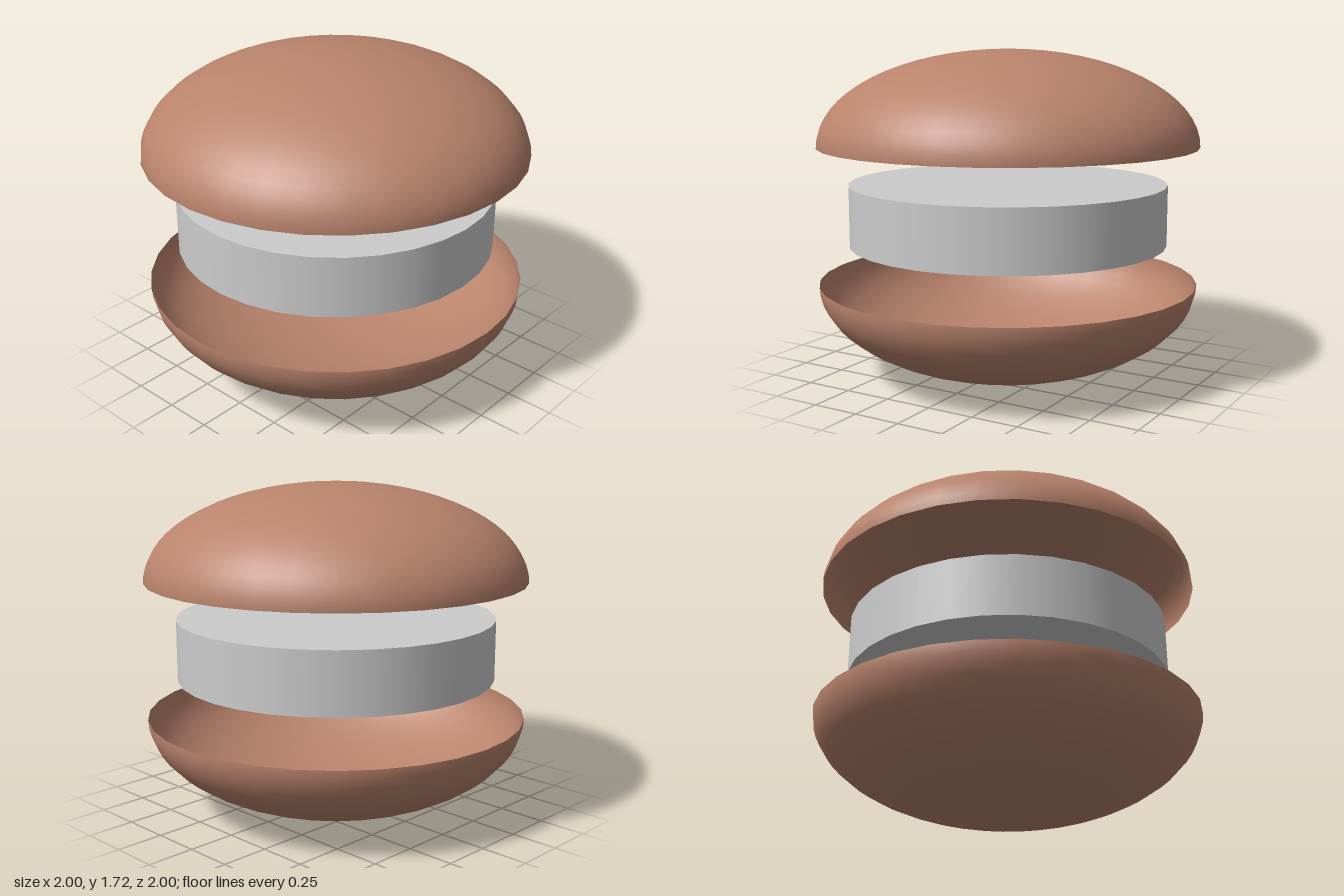
import * as THREE from 'three';

const SEGMENTS = 32;

export function createModel() {
  const model = new THREE.Group();
  model.name = 'sandwichCookie';

  const crustMaterial = new THREE.MeshStandardMaterial({ color: 0xb9836c, side: THREE.DoubleSide });
  const fillingMaterial = new THREE.MeshStandardMaterial({ color: 0xcccccc });

  // Hollow, open half-shell squashed to half its height
  const shellGeometry = new THREE.SphereGeometry(1, SEGMENTS, 16, 0, Math.PI * 2, 0, Math.PI / 2);
  shellGeometry.scale(1, 0.5, 1);

  const addShell = (name, rimY, flipped) => {
    const shell = new THREE.Mesh(shellGeometry, crustMaterial);
    shell.name = name;
    shell.position.y = rimY;
    if (flipped) shell.rotation.x = Math.PI;
    model.add(shell);
  };
  addShell('topShell', 1.22, false);
  addShell('bottomShell', 0.5, true);

  // Filling disc floating between the shells
  const filling = new THREE.Mesh(new THREE.CylinderGeometry(0.84, 0.84, 0.32, SEGMENTS), fillingMaterial);
  filling.name = 'filling';
  filling.position.y = 0.86;
  model.add(filling);

  return model;
}
